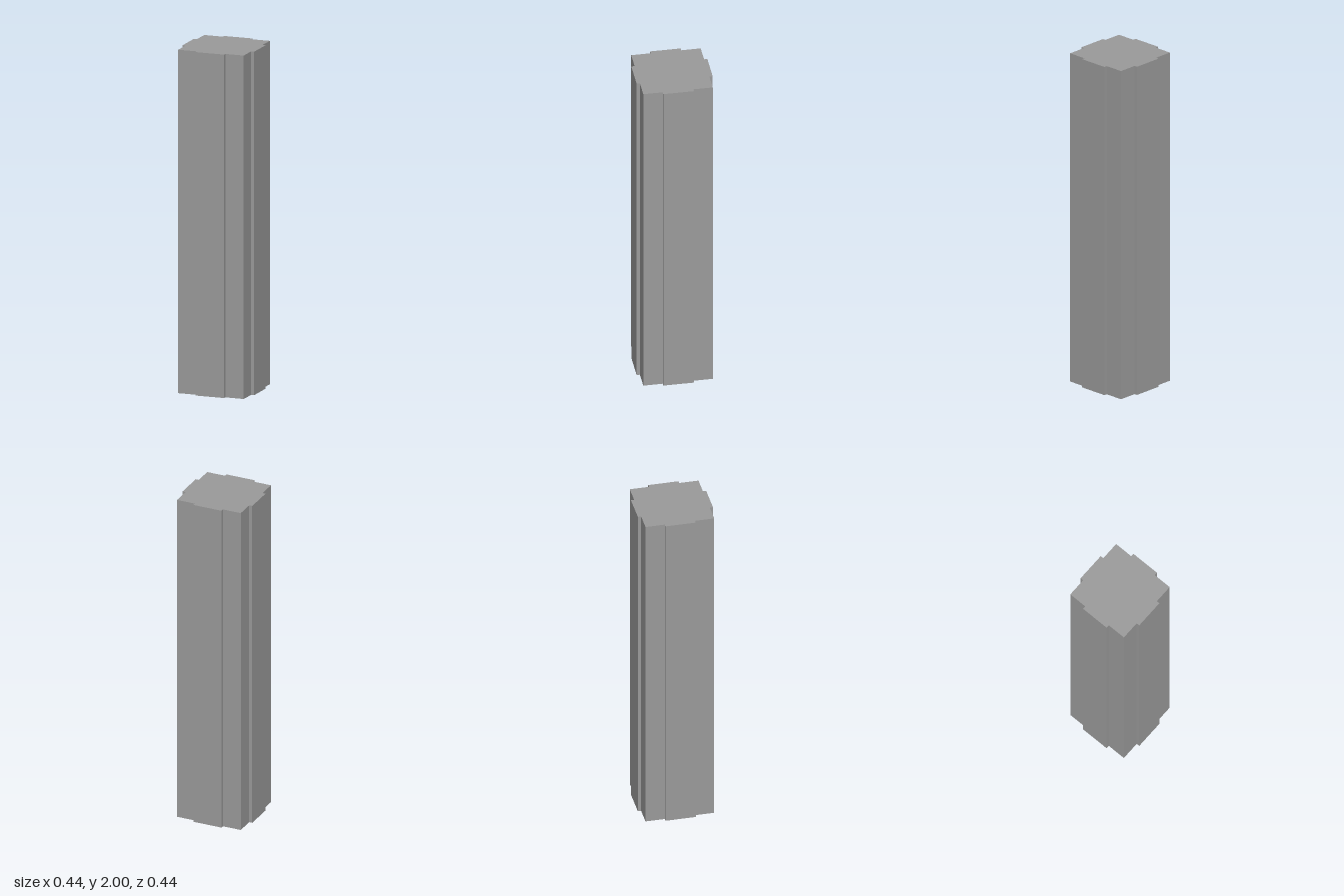
import * as THREE from 'three';

const HEIGHT = 2;
const CORE = 0.2;    // half width of the square shaft
const OUTER = 0.219; // distance from the axis to the face of a raised band
const BAND = 0.088;  // half width of a raised band

export function createModel() {
  const group = new THREE.Group();
  group.name = 'pillar';

  // Cross-section: one side (band, then corner) repeated by quarter turns
  const side = [[OUTER, -BAND], [OUTER, BAND], [CORE, BAND], [CORE, CORE], [BAND, CORE]];
  const outline = [];
  for (let i = 0; i < 4; i++) {
    for (const [x, y] of side) {
      outline.push(new THREE.Vector2(x, y).rotateAround(new THREE.Vector2(), i * Math.PI / 2));
    }
  }

  // Square shaft with a raised vertical band on each face
  const geometry = new THREE.ExtrudeGeometry(new THREE.Shape(outline), {
    depth: HEIGHT,
    bevelEnabled: false,
  });
  geometry.rotateX(-Math.PI / 2);

  const shaft = new THREE.Mesh(
    geometry,
    new THREE.MeshStandardMaterial({ color: 0x9b9b9b, flatShading: true }),
  );
  shaft.name = 'bandedShaft';
  group.add(shaft);

  return group;
}
